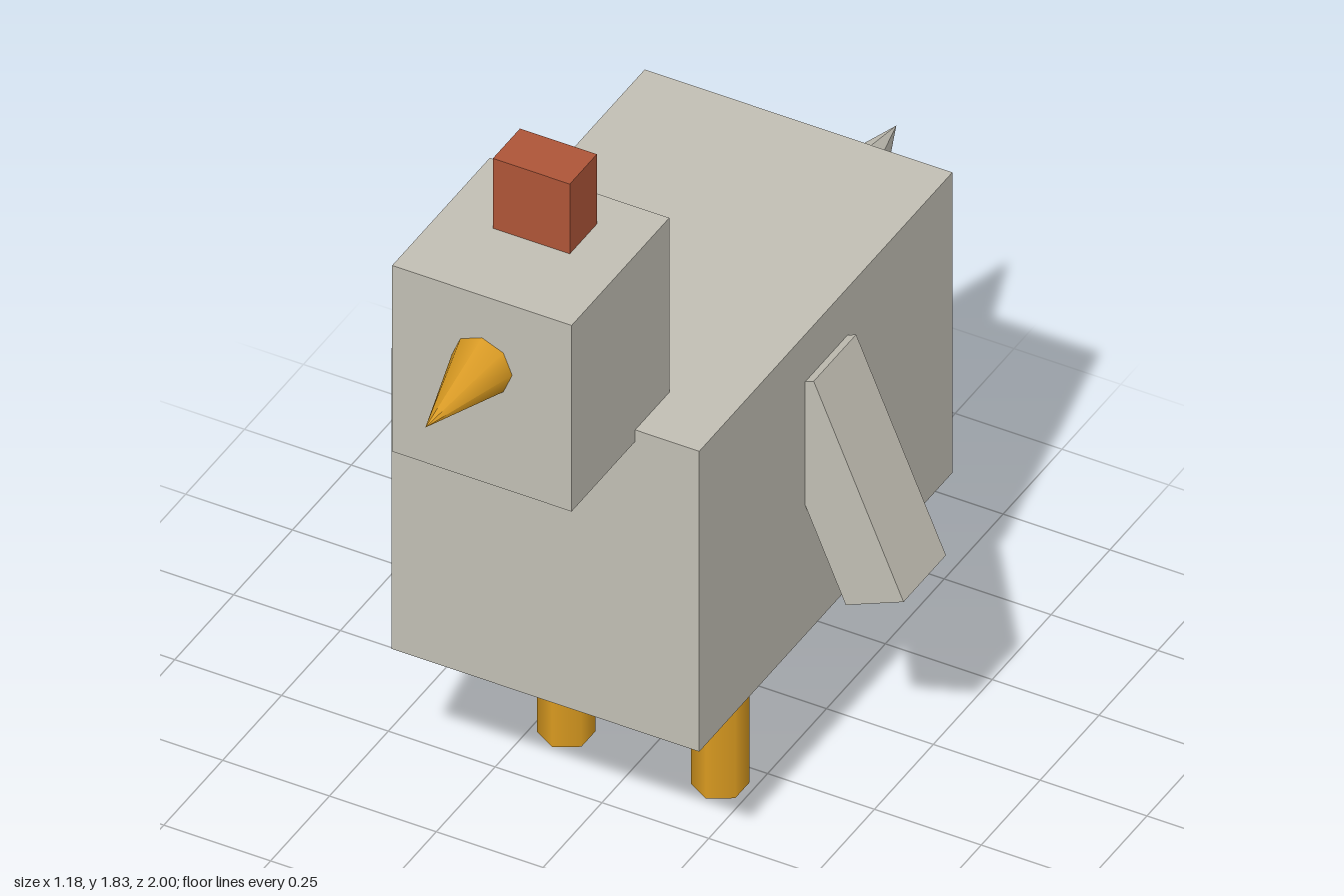
import * as THREE from 'three';

export function createModel() {
  const model = new THREE.Group();
  model.name = 'hen';
  const material = (name, color) => {
    const m = new THREE.MeshStandardMaterial({ color });
    m.name = name;
    return m;
  };
  const feather = material('pale grey feather', 0xc2bfb4);
  const orange = material('orange', 0xd99a20);
  const red = material('comb red', 0xae5538);

  const add = (name, geometry, mat, x, y, z) => {
    const mesh = new THREE.Mesh(geometry, mat);
    mesh.name = name;
    mesh.position.set(x, y, z);
    model.add(mesh);
    return mesh;
  };
  const box = (w, h, d) => new THREE.BoxGeometry(w, h, d);

  // Body, head and comb
  add('body', box(0.72, 0.775, 1.075), feather, 0, 0.8125, -0.0475);
  add('head', box(0.42, 0.48, 0.415), feather, 0, 1.41, 0.5525);
  add('comb', box(0.18, 0.2, 0.115), red, 0, 1.73, 0.4925);

  // Beak, pointing forward
  const beak = add('beak', new THREE.ConeGeometry(0.071, 0.24, 8), orange, 0, 1.47, 0.88);
  beak.rotation.x = Math.PI / 2;

  // Tail, its base sunk into the body and its tip raised
  const tilt = 0.167, length = 0.54;
  const tail = add('tail', new THREE.ConeGeometry(length * 0.373, length, 8), feather,
    0, 0.91 - Math.sin(tilt) * length / 2, -1 + Math.cos(tilt) * length / 2);
  tail.rotation.x = -Math.PI / 2 + tilt;

  // Splayed wings and six-sided legs, mirrored
  for (const [side, s] of [['left', 1], ['right', -1]]) {
    const wing = add(side + 'Wing', box(0.147, 0.535, 0.18), feather, s * 0.4175, 0.812, -0.05);
    wing.rotation.z = s * 0.404;
    add(side + 'Leg', new THREE.CylinderGeometry(0.06, 0.06, 0.45, 6), orange, s * 0.18, 0.225, 0.075);
  }
  return model;
}
